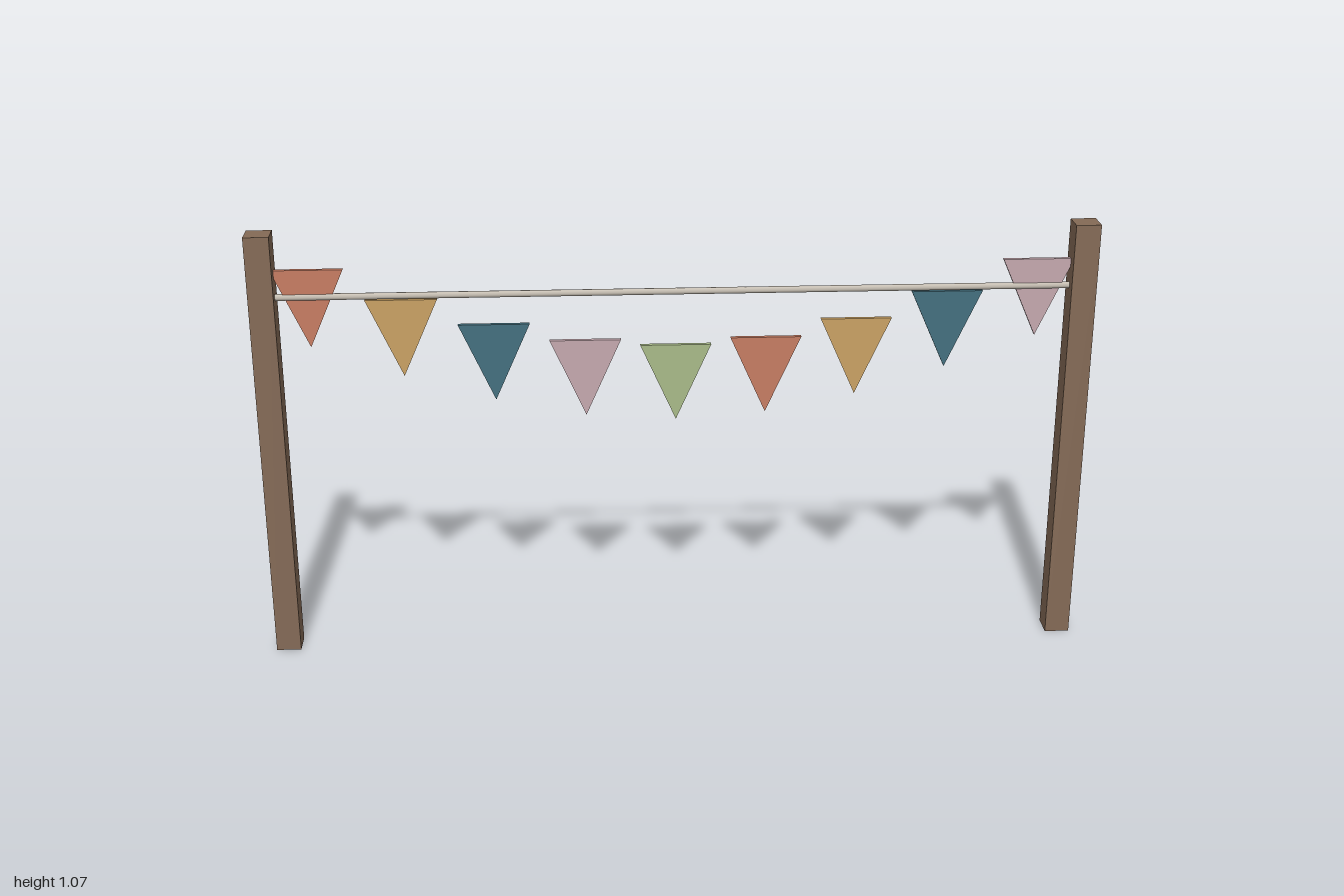
import * as THREE from 'three';

const mat = (name, color) => {
  const m = new THREE.MeshStandardMaterial({ color });
  m.name = name;
  return m;
};

export function createModel() {
  const group = new THREE.Group();
  const wood = mat('brown wood', 0x846a56);
  const cord = mat('pale cord', 0xc8c0b4);
  const terracotta = mat('terracotta', 0xc67c62);
  const ochre = mat('ochre', 0xc9a163);
  const teal = mat('teal', 0x436f7e);
  const pink = mat('dusty pink', 0xc4a8ae);
  const green = mat('sage green', 0xa8ba88);

  const add = (name, geometry, material, x, y, z) => {
    const mesh = new THREE.Mesh(geometry, material);
    mesh.name = name;
    mesh.position.set(x, y, z);
    group.add(mesh);
    return mesh;
  };

  // Square posts
  const post = new THREE.BoxGeometry(0.06, 1.07, 0.06);
  add('leftPost', post, wood, 0.97, 0.535, 0);
  add('rightPost', post, wood, -0.97, 0.535, 0);

  // Straight rope between the posts
  const rope = new THREE.CylinderGeometry(0.008, 0.008, 1.9, 6);
  rope.rotateZ(Math.PI / 2);
  add('rope', rope, cord, 0, 0.915, 0);

  // Triangular flag, hanging from its top edge
  const triangle = new THREE.Shape([
    new THREE.Vector2(-0.085, 0),
    new THREE.Vector2(0, -0.19),
    new THREE.Vector2(0.085, 0),
  ]);
  const flag = new THREE.ExtrudeGeometry(triangle, { depth: 0.011, bevelEnabled: false });

  // Nine flags along a sagging curve
  const colours = [terracotta, ochre, teal, pink, green];
  for (let i = 0; i < 9; i++) {
    const y = 0.981 - 0.2 * Math.sin((Math.PI * i) / 8);
    add(`flag${i + 1}`, flag, colours[i % 5], (i - 4) * 0.216, y, -0.0085);
  }
  return group;
}
